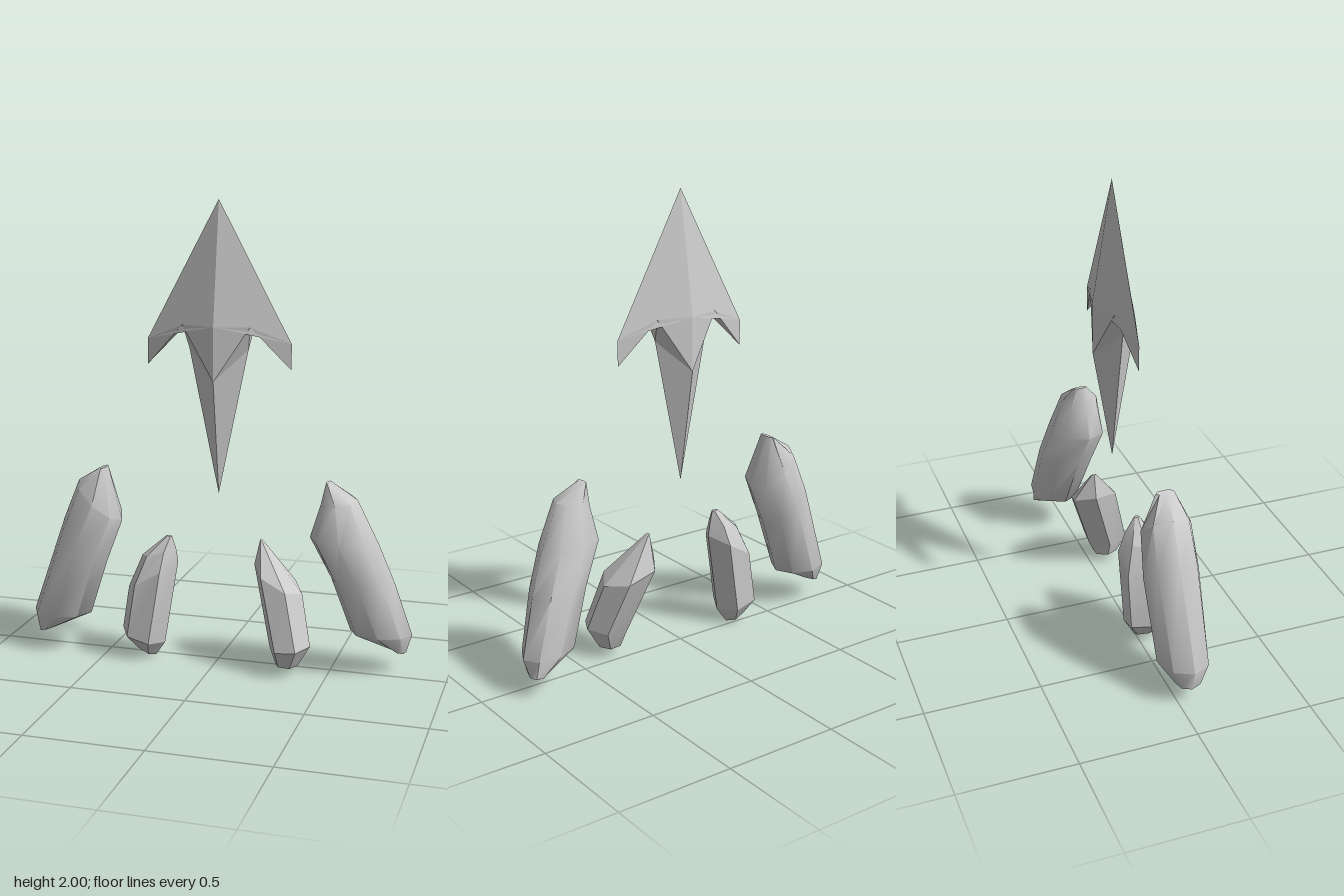
import * as THREE from 'three';
import { toCreasedNormals } from 'three/addons/utils/BufferGeometryUtils.js';

const material = new THREE.MeshStandardMaterial({ color: 0xcccccc });

function makeMesh(name, points, faces, crease) {
  const geometry = new THREE.BufferGeometry();
  geometry.setAttribute('position', new THREE.Float32BufferAttribute(points.flat(), 3));
  geometry.setIndex(faces.flat());
  const mesh = new THREE.Mesh(toCreasedNormals(geometry.toNonIndexed(), crease), material);
  mesh.name = name;
  return mesh;
}

// Floating four-fold symmetric blade: one quarter mirrored in x and z
function arrowhead() {
  const quarter = [
    [0, 2, 0],          // 0 tip
    [0, 1.48, 0.085],   // 1 top of ridge
    [0, 1.25, 0.085],   // 2 bottom of ridge
    [0.315, 1.41, 0],   // 3 barb, upper corner
    [0.315, 1.3, 0],    // 4 barb, lower corner
    [0.147, 1.48, 0.043], // 5 notch
    [0.13, 1.38, 0],    // 6 shoulder of lower spike
    [0, 0.75, 0],       // 7 lower point
    [0.147, 1.48, 0],   // 8 middle of notch
  ];
  const quarterFaces = [
    [0, 1, 3], [1, 5, 3], [1, 2, 5], [5, 4, 3],
    [2, 7, 6], [2, 6, 5], [5, 8, 4], [5, 6, 8],
  ];
  const points = [], faces = [];
  for (const sx of [1, -1]) for (const sz of [1, -1]) {
    const start = points.length;
    points.push(...quarter.map(([x, y, z]) => [x * sx, y, z * sz]));
    for (const [a, b, c] of quarterFaces) {
      faces.push((sx * sz > 0 ? [a, b, c] : [a, c, b]).map(i => i + start));
    }
  }
  return makeMesh('arrowhead', points, faces, 0.15);
}

// Crystal lofted through slanted rings, bottom to top.
// Each ring: [left x, left y, right x, right y, left z, right z, half depth]
function crystal(name, sides, rings, crease) {
  const points = [], faces = [];
  const fullest = sides === 6 ? Math.sin(Math.PI / 3) : 1;
  for (const [xl, yl, xr, yr, zl, zr, depth] of rings) {
    for (let i = 0; i < sides; i++) {
      const angle = i / sides * Math.PI * 2;
      const t = (1 + Math.cos(angle)) / 2;
      points.push([
        xl + (xr - xl) * t,
        yl + (yr - yl) * t,
        zl + (zr - zl) * t + Math.sin(angle) / fullest * depth,
      ]);
    }
  }
  const last = (rings.length - 1) * sides;
  for (let i = 0; i < sides; i++) {
    const j = (i + 1) % sides;
    for (let base = 0; base < last; base += sides) {
      const up = base + sides;
      faces.push([base + i, up + i, base + j], [up + i, up + j, base + j]);
    }
    // End caps
    if (i > 0 && j > 0) faces.push([0, i, j], [last, last + j, last + i]);
  }
  return makeMesh(name, points, faces, crease);
}

export function createModel() {
  const group = new THREE.Group();
  group.name = 'crystalCluster';
  group.add(arrowhead());

  group.add(crystal('largeCrystalRight', 8, [
    [-0.82, 0.075, -0.72, 0.11, 0.05, 0.05, 0.06],
    [-0.845, 0.17, -0.58, 0.17, 0.05, 0.04, 0.11],
    [-0.70, 0.60, -0.50, 0.42, 0.035, 0.04, 0.122],
    [-0.63, 0.775, -0.425, 0.61, 0.03, 0.05, 0.11],
    [-0.525, 0.84, -0.495, 0.845, 0.04, 0.04, 0.04],
  ], 0.85));

  group.add(crystal('largeCrystalLeft', 8, [
    [0.75, 0.105, 0.815, 0.085, -0.08, -0.08, 0.05],
    [0.58, 0.18, 0.84, 0.17, -0.03, -0.07, 0.10],
    [0.50, 0.42, 0.765, 0.41, 0.01, -0.03, 0.12],
    [0.412, 0.60, 0.70, 0.58, 0.04, 0, 0.12],
    [0.455, 0.74, 0.61, 0.77, 0.04, 0.02, 0.085],
    [0.475, 0.838, 0.495, 0.838, 0.02, 0.02, 0.03],
  ], 0.85));

  group.add(crystal('smallCrystalRight', 6, [
    [-0.375, 0.05, -0.28, 0, 0.03, 0.03, 0.04],
    [-0.43, 0.12, -0.235, 0.065, 0.04, 0.04, 0.09],
    [-0.40, 0.31, -0.175, 0.44, 0.04, 0.03, 0.09],
    [-0.335, 0.46, -0.185, 0.50, 0.04, 0.03, 0.055],
    [-0.225, 0.555, -0.20, 0.55, 0.035, 0.035, 0.01],
  ], 0.3));

  group.add(crystal('smallCrystalLeft', 6, [
    [0.275, 0.04, 0.375, 0.035, 0.08, 0.08, 0.05],
    [0.25, 0.11, 0.43, 0.13, 0.08, 0.09, 0.09],
    [0.155, 0.44, 0.38, 0.34, -0.02, 0.03, 0.10],
    [0.18, 0.553, 0.195, 0.545, -0.02, -0.02, 0.01],
  ], 0.3));

  return group;
}
